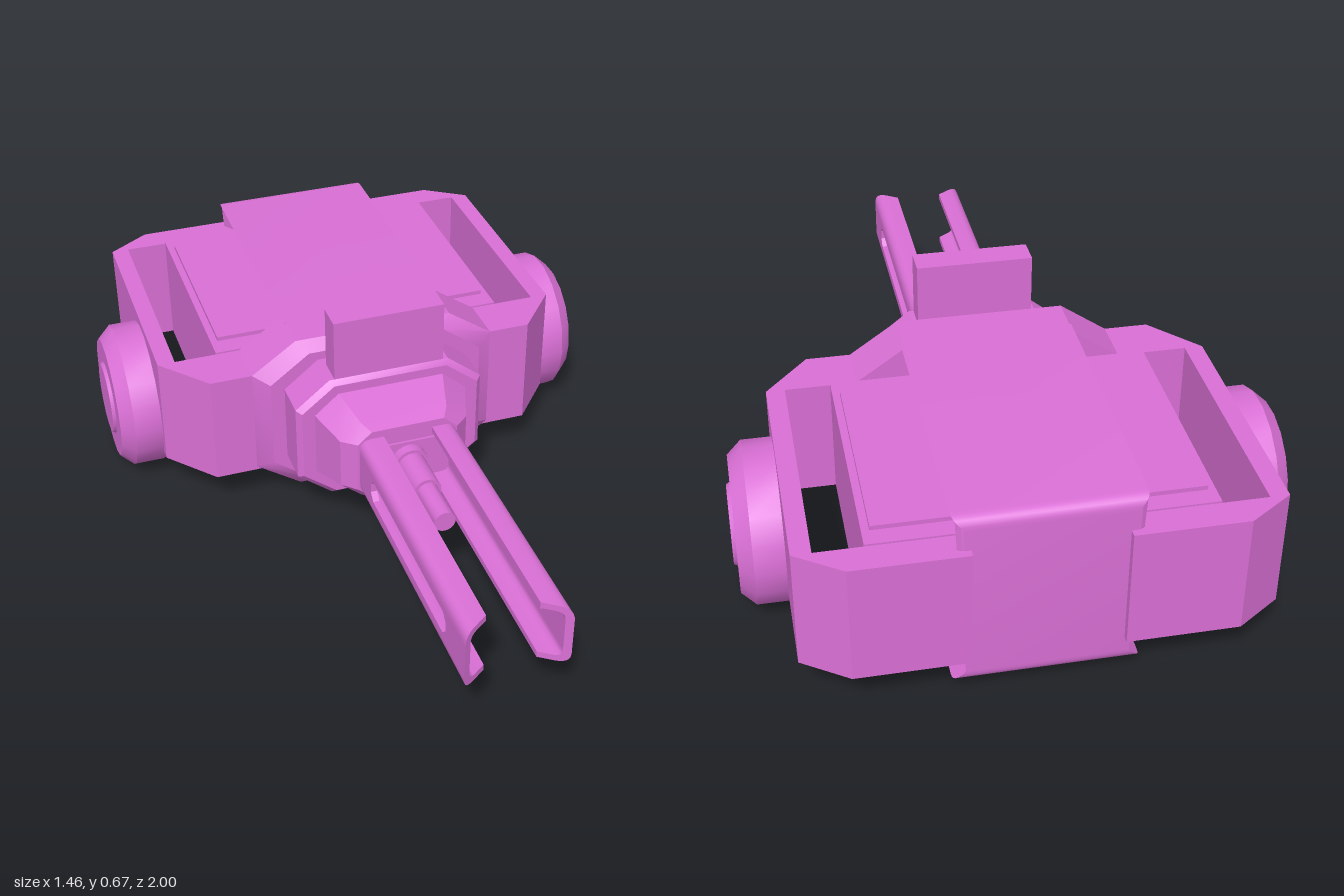
import * as THREE from 'three';
import { toCreasedNormals } from 'three/addons/utils/BufferGeometryUtils.js';

const MID = 0.3; // height of the long axis

export function createModel() {
  const model = new THREE.Group();
  const material = new THREE.MeshStandardMaterial({ color: 0xda70d6 });

  function add(name, geometry, crease = 0.5) {
    const mesh = new THREE.Mesh(toCreasedNormals(geometry, crease), material);
    mesh.name = name;
    model.add(mesh);
    return mesh;
  }

  function box(name, x0, x1, y0, y1, z0, z1) {
    const g = new THREE.BoxGeometry(x1 - x0, y1 - y0, z1 - z0);
    g.translate((x0 + x1) / 2, (y0 + y1) / 2, (z0 + z1) / 2);
    return add(name, g);
  }

  const shapeOf = (pts) => new THREE.Shape(pts.map(([x, y]) => new THREE.Vector2(x, y)));
  const extrude = (shape, depth) =>
    new THREE.ExtrudeGeometry(shape, { depth, bevelEnabled: false, curveSegments: 6 });

  // Solid through chamfered rectangles: [z, halfWidth, halfHeight, cutX, cutY]
  function loft(name, sections) {
    const pos = [];
    const rings = sections.map(([z, w, h, cx, cy]) => [
      [w, cy - h], [w, h - cy], [w - cx, h], [cx - w, h],
      [-w, h - cy], [-w, cy - h], [cx - w, -h], [w - cx, -h],
    ].map(([x, y]) => [x, y + MID, z]));
    const tri = (...p) => p.forEach((v) => pos.push(...v));
    for (let i = 0; i + 1 < rings.length; i++) {
      for (let j = 0; j < 8; j++) {
        const k = (j + 1) % 8, a = rings[i], b = rings[i + 1];
        tri(a[j], a[k], b[k]);
        tri(a[j], b[k], b[j]);
      }
    }
    const back = rings[0], front = rings[rings.length - 1];
    for (let j = 1; j < 7; j++) {
      tri(front[0], front[j], front[j + 1]);
      tri(back[0], back[j + 1], back[j]);
    }
    const g = new THREE.BufferGeometry();
    g.setAttribute('position', new THREE.Float32BufferAttribute(pos, 3));
    return add(name, g);
  }

  // Side frame, open at the back for the strap
  const half = [
    [0.19, -1], [0.48, -1], [0.6, -0.92], [0.6, -0.24], [0.48, -0.1],
  ];
  const inner = [[-0.19, -0.92], [-0.55, -0.92], [-0.55, -0.24], [0.55, -0.24], [0.55, -0.92], [0.19, -0.92]];
  const outline = [...half, ...half.map(([x, z]) => [-x, z]).reverse(), ...inner];
  const frame = extrude(shapeOf(outline), 0.33);
  frame.rotateX(Math.PI / 2).translate(0, 0.46, 0);
  add('frame', frame);

  // Core with raised plates above and below
  box('core', -0.43, 0.43, 0.13, 0.465, -0.92, -0.24);
  box('corePlates', -0.41, 0.41, 0.122, 0.477, -0.87, -0.3);

  // Strap looping over, behind and under the core, with undercut edges
  const r = 0.035;
  const loop = new THREE.Shape();
  loop.moveTo(-0.2, 0.05);
  loop.lineTo(-0.2, 0.55);
  loop.lineTo(-0.98 + r, 0.55);
  loop.quadraticCurveTo(-0.98, 0.55, -0.98, 0.55 - r);
  loop.lineTo(-0.98, 0.05 + r);
  loop.quadraticCurveTo(-0.98, 0.05, -0.98 + r, 0.05);
  loop.closePath();
  loop.holes.push(new THREE.Path([
    [-0.22, 0.1], [-0.92, 0.1], [-0.92, 0.5], [-0.22, 0.5],
  ].map(([z, y]) => new THREE.Vector2(z, y))));
  const strap = extrude(loop, 2);
  strap.rotateY(-Math.PI / 2).translate(1, 0, 0);
  const sp = strap.attributes.position;
  for (let i = 0; i < sp.count; i++) {
    const t = THREE.MathUtils.clamp((Math.abs(sp.getY(i) - MID) - 0.2) / 0.05, 0, 1);
    sp.setX(i, Math.sign(sp.getX(i)) * (0.19 + 0.045 * t));
  }
  add('strap', strap);

  // Front block, neck and snout
  loft('frontBlock', [
    [-0.24, 0.36, 0.25, 0.13, 0.09],
    [-0.1, 0.36, 0.25, 0.13, 0.09],
    [-0.07, 0.315, 0.22, 0.115, 0.085],
  ]);
  loft('neck', [
    [-0.08, 0.275, 0.195, 0.1, 0.08],
    [0.04, 0.275, 0.195, 0.1, 0.08],
    [0.055, 0.26, 0.182, 0.095, 0.075],
  ]);
  loft('snout', [
    [0.05, 0.225, 0.157, 0.07, 0.06],
    [0.165, 0.185, 0.125, 0.06, 0.05],
    [0.2, 0.145, 0.112, 0.04, 0.035],
  ]);
  box('sightBlock', -0.16, 0.16, 0.46, 0.675, -0.04, 0.04);
  box('muzzlePlate', -0.095, 0.095, 0.24, 0.36, 0.19, 0.207);

  // Stepped barrel
  const barrel = new THREE.LatheGeometry([
    [0, 0.18], [0.05, 0.18], [0.05, 0.235], [0.04, 0.235], [0.04, 0.36],
    [0.03, 0.36], [0.03, 0.495], [0, 0.495],
  ].map(([x, y]) => new THREE.Vector2(x, y)), 20);
  barrel.rotateX(Math.PI / 2).translate(0, MID, 0);
  add('barrel', barrel);

  // Channel-shaped prongs with a slot in the outer wall and a slanted tip
  const slant = (g) => {
    const p = g.attributes.position;
    for (let i = 0; i < p.count; i++) {
      if (p.getZ(i) > 0.95) p.setZ(i, 1 - (0.14 - Math.abs(p.getX(i))) * 0.7);
    }
    return g;
  };
  for (const sx of [1, -1]) {
    const side = sx > 0 ? 'left' : 'right';
    for (const sy of [1, -1]) {
      const P = (x, y) => [sx * x, MID + sy * y];
      const rail = new THREE.Shape();
      rail.moveTo(...P(0.07, 0.09));
      rail.lineTo(...P(0.105, 0.09));
      rail.quadraticCurveTo(...P(0.14, 0.09), ...P(0.14, 0.055));
      rail.lineTo(...P(0.14, 0.05));
      rail.lineTo(...P(0.122, 0.05));
      rail.quadraticCurveTo(...P(0.122, 0.072), ...P(0.1, 0.072));
      rail.lineTo(...P(0.07, 0.072));
      const g = extrude(rail, 0.81);
      g.translate(0, 0, 0.19);
      add(side + (sy > 0 ? 'UpperRail' : 'LowerRail'), slant(g));
    }
    const wall = shapeOf([[0.19, 0.25], [1, 0.25], [1, 0.35], [0.19, 0.35]]);
    const c = 0.02, z0 = 0.295, z1 = 0.87, y0 = 0.266, y1 = 0.334;
    wall.holes.push(new THREE.Path([
      [z0 + c, y0], [z0, y0 + c], [z0, y1 - c], [z0 + c, y1],
      [z1 - c, y1], [z1, y1 - c], [z1, y0 + c], [z1 - c, y0],
    ].map(([z, y]) => new THREE.Vector2(z, y))));
    const g = extrude(wall, 0.018);
    g.rotateY(-Math.PI / 2).translate(sx > 0 ? 0.14 : -0.122, 0, 0);
    add(side + 'ProngWall', slant(g));

    // Chamfered wheel with a raised hub
    const wheel = new THREE.LatheGeometry([
      [0, 0.59], [0.215, 0.59], [0.215, 0.68], [0.18, 0.718],
      [0.11, 0.718], [0.104, 0.728], [0, 0.728],
    ].map(([x, y]) => new THREE.Vector2(x, y)), 18);
    wheel.rotateZ(-sx * Math.PI / 2).translate(0, 0.22, -0.475);
    add(side + 'Wheel', wheel);
  }

  return model;
}
